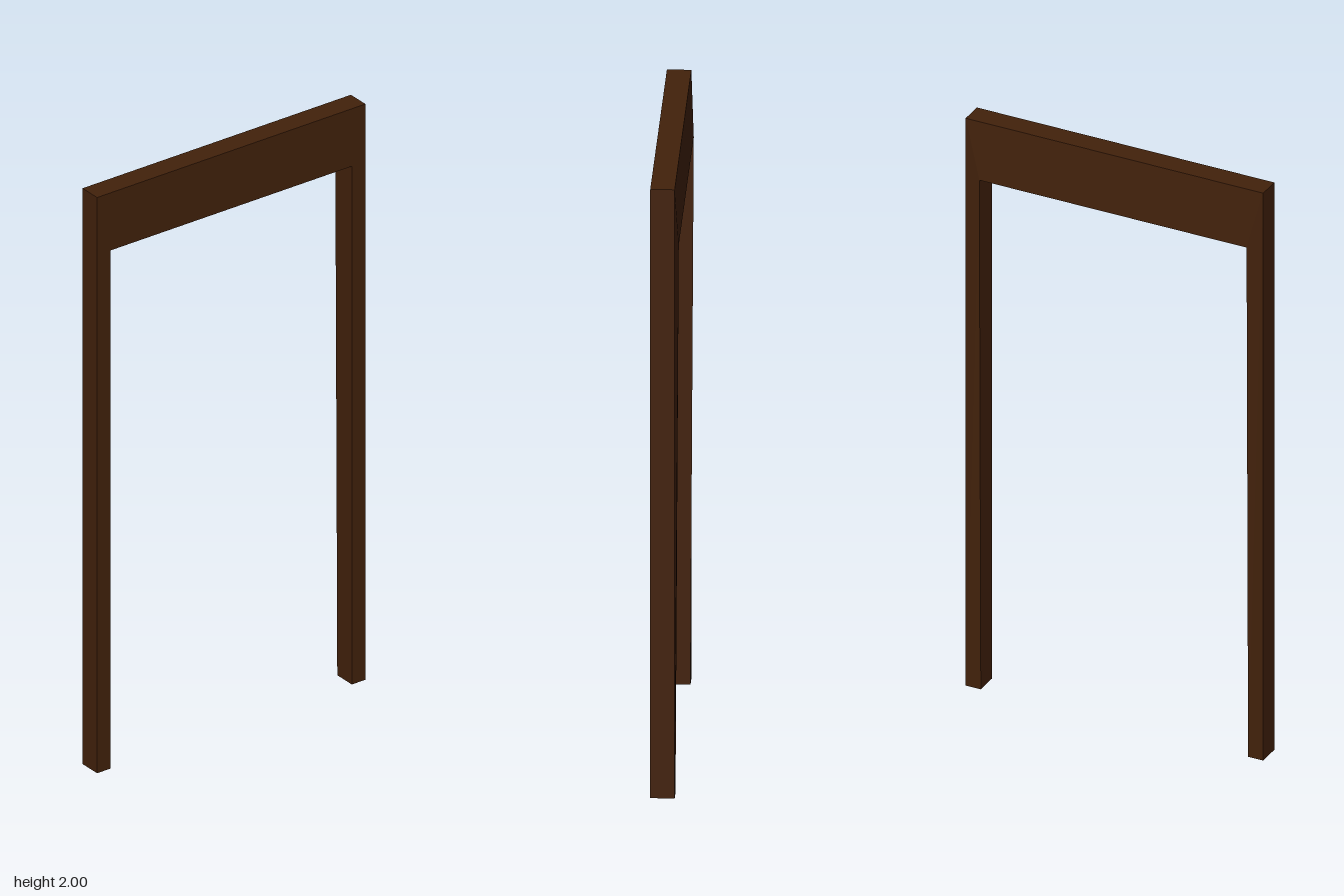
import * as THREE from 'three';

export function createModel() {
  const group = new THREE.Group();
  group.name = 'doorFrame';
  const darkWood = new THREE.MeshStandardMaterial({ color: 0x42210b });
  darkWood.name = 'darkWood';

  const outer = 0.512, inner = 0.46, top = 2, lintelBottom = 1.8;
  const front = 0.042, back = -0.033, bulge = 0.01;

  // Two posts and a lintel as one outline
  const outline = new THREE.Shape([
    [-outer, 0], [-inner, 0], [-inner, lintelBottom], [inner, lintelBottom],
    [inner, 0], [outer, 0], [outer, top], [-outer, top],
  ].map(([x, y]) => new THREE.Vector2(x, y)));
  const geometry = new THREE.ExtrudeGeometry(outline, { depth: front - back, bevelEnabled: false });
  geometry.translate(0, 0, back);

  // The back swells slightly at the inner corners under the lintel
  const p = geometry.attributes.position;
  for (let i = 0; i < p.count; i++) {
    if (p.getZ(i) < 0 && Math.abs(p.getY(i) - lintelBottom) < 0.001) p.setZ(i, back - bulge);
  }
  geometry.computeVertexNormals();

  const frame = new THREE.Mesh(geometry, darkWood);
  frame.name = 'postsAndLintel';
  group.add(frame);
  return group;
}
